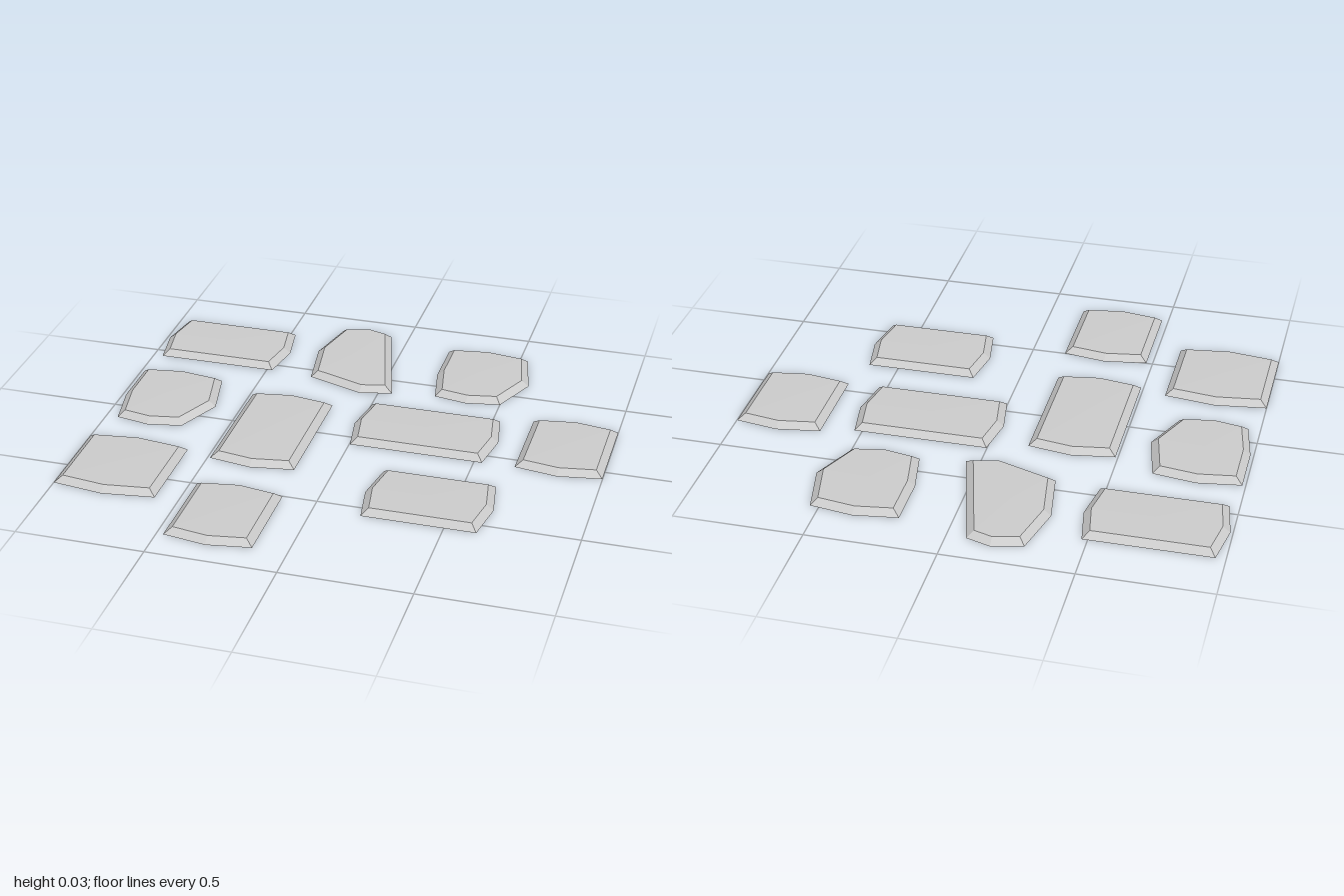
import * as THREE from 'three';

const RIM = 0.023, CROWN = 0.026, BEVEL = 0.028;

// Outline bowed at its front and back ends: half width w, half depth d
const tall = (w, d, bow = 0.027) =>
  [[-w, bow - d], [0, -d], [w, bow - d], [w, d - bow], [0, d], [-w, d - bow]];
// Outline bowed at its left and right ends
const wide = (w, d, bow = 0.028) =>
  [[bow - w, -d], [w - bow, -d], [w, 0], [w - bow, d], [bow - w, d], [-w, 0]];
const rounded = [[-0.17, -0.2], [0, -0.225], [0.17, -0.2], [0.215, 0.015],
  [0.135, 0.2], [0, 0.225], [-0.135, 0.2], [-0.17, 0.015]];
const tapered = [[-0.11, -0.25], [0.01, -0.28], [0.105, -0.25], [0.235, 0.24],
  [0.105, 0.27], [-0.125, 0.19], [-0.16, -0.04]];

// Move every edge inwards by t and intersect neighbouring edges
function inset(points, t) {
  const n = points.length;
  const normal = (a, b) => {
    const dx = b[0] - a[0], dz = b[1] - a[1], l = Math.hypot(dx, dz);
    return [-dz / l, dx / l];
  };
  return points.map((p, i) => {
    const a = normal(points[(i + n - 1) % n], p);
    const b = normal(p, points[(i + 1) % n]);
    const k = t / (1 + a[0] * b[0] + a[1] * b[1]);
    return [p[0] + (a[0] + b[0]) * k, p[1] + (a[1] + b[1]) * k];
  });
}

// Flat base, bevelled sides and a barely crowned top
function stoneGeometry(outline) {
  const top = inset(outline, BEVEL), pos = [], n = outline.length;
  const tri = (...corners) => corners.forEach(c => pos.push(...c));
  for (let i = 0; i < n; i++) {
    const j = (i + 1) % n;
    const at = (p, y) => [p[0], y, p[1]];
    const a = at(outline[i], 0), b = at(outline[j], 0);
    const c = at(top[j], RIM), d = at(top[i], RIM);
    tri(a, d, b);
    tri(b, d, c);
    tri(c, d, [0, CROWN, 0]);
    tri(a, b, [0, 0, 0]);
  }
  const geometry = new THREE.BufferGeometry();
  geometry.setAttribute('position', new THREE.Float32BufferAttribute(pos, 3));
  geometry.computeVertexNormals();
  return geometry;
}

export function createModel() {
  const group = new THREE.Group();
  group.name = 'steppingStones';
  const material = new THREE.MeshStandardMaterial({ color: 0xcccccc, flatShading: true });

  // Outline, centre x, centre z
  const stones = [
    [wide(0.27, 0.168), -0.72, -0.62],
    [tapered, -0.18, -0.63],
    [rounded, 0.365, -0.615],
    [rounded, -0.817, -0.105],
    [tall(0.17, 0.292), -0.32, 0.038],
    [wide(0.292, 0.168), 0.267, -0.112],
    [tall(0.17, 0.212), 0.829, -0.132],
    [tall(0.203, 0.213), -0.797, 0.452],
    [tall(0.17, 0.212), -0.304, 0.686],
    [wide(0.247, 0.169), 0.403, 0.387],
  ];
  stones.forEach(([outline, x, z], i) => {
    const mesh = new THREE.Mesh(stoneGeometry(outline), material);
    mesh.name = `stone${i + 1}`;
    mesh.position.set(x, 0, z);
    group.add(mesh);
  });
  return group;
}
